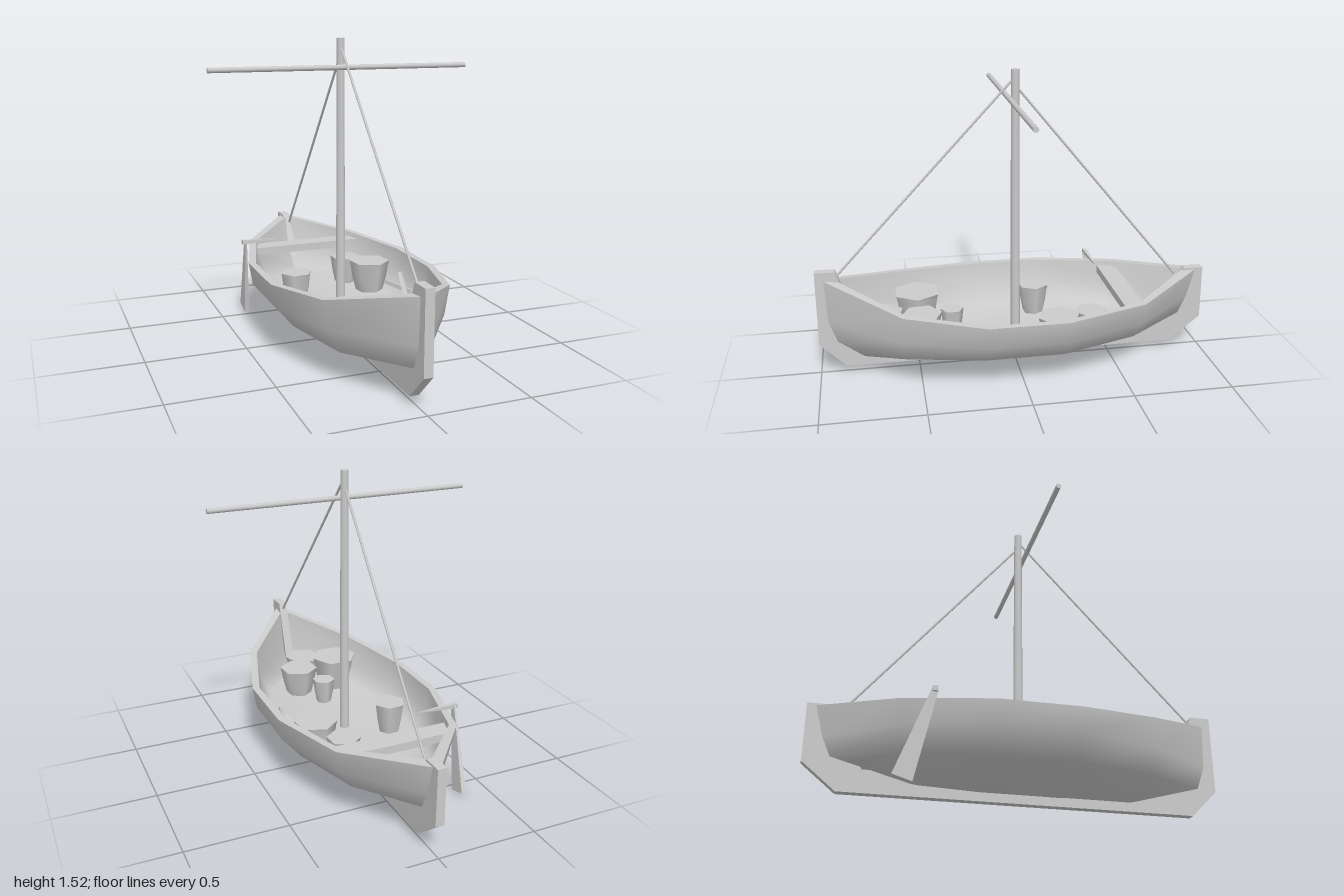
import * as THREE from 'three';
import { toCreasedNormals } from 'three/addons/utils/BufferGeometryUtils.js';

const mat = new THREE.MeshStandardMaterial({ color: 0xcccccc, side: THREE.DoubleSide });
const V = (x, y, z) => new THREE.Vector3(x, y, z);

function add(parent, name, geometry) {
  const mesh = new THREE.Mesh(geometry, mat);
  mesh.name = name;
  parent.add(mesh);
  return mesh;
}

// Smooth skin over a grid of points rows[i][j]
function loft(rows, flip) {
  const n = rows[0].length, index = [];
  for (let i = 0; i < rows.length - 1; i++) {
    for (let j = 0; j < n - 1; j++) {
      const a = i * n + j, b = a + n, c = a + 1, d = b + 1;
      index.push(...(flip ? [a, b, c, c, b, d] : [a, c, b, c, d, b]));
    }
  }
  const g = new THREE.BufferGeometry().setFromPoints(rows.flat());
  g.setIndex(index);
  g.computeVertexNormals();
  return g;
}

// Tapered bar between two points; sx and sz flatten its section
function bar(parent, name, from, to, r0, r1, sides = 6, sx = 1, sz = 1) {
  const dir = to.clone().sub(from);
  const g = new THREE.CylinderGeometry(r1, r0, dir.length(), sides);
  if (sides === 4) g.rotateY(Math.PI / 4);
  g.scale(sx, 1, sz);
  const mesh = add(parent, name, sides === 4 ? toCreasedNormals(g, 0.5) : g);
  mesh.position.copy(from).add(to).multiplyScalar(0.5);
  mesh.quaternion.setFromUnitVectors(V(0, 1, 0), dir.normalize());
  return mesh;
}

// Hull lines from bow to stern, each point [half width, height, z]
const outerLines = [
  [[0.02, 0.51, 0.96], [0.31, 0.415, 0.59], [0.43, 0.385, 0.2], [0.43, 0.385, -0.19], [0.31, 0.395, -0.6], [0.02, 0.44, -0.96]],
  [[0.02, 0.29, 0.95], [0.285, 0.275, 0.59], [0.41, 0.27, 0.2], [0.41, 0.27, -0.19], [0.28, 0.28, -0.6], [0.02, 0.29, -0.92]],
  [[0.02, 0.18, 0.91], [0.23, 0.16, 0.58], [0.32, 0.165, 0.2], [0.32, 0.165, -0.19], [0.22, 0.18, -0.57], [0.02, 0.2, -0.88]],
  [[0, 0.08, 0.8], [0, 0.077, 0.55], [0, 0.077, 0.2], [0, 0.077, -0.19], [0, 0.09, -0.5], [0, 0.18, -0.83]],
];
const innerLines = [
  [[0.01, 0.505, 0.9], [0.28, 0.415, 0.57], [0.395, 0.385, 0.19], [0.395, 0.385, -0.18], [0.28, 0.395, -0.58], [0.01, 0.44, -0.89]],
  [[0.01, 0.29, 0.86], [0.265, 0.275, 0.56], [0.38, 0.27, 0.19], [0.38, 0.27, -0.18], [0.255, 0.28, -0.57], [0.01, 0.29, -0.82]],
  [[0.01, 0.18, 0.78], [0.22, 0.175, 0.55], [0.31, 0.175, 0.19], [0.31, 0.175, -0.18], [0.21, 0.185, -0.55], [0.01, 0.18, -0.74]],
  [[0, 0.17, 0.77], [0, 0.17, 0.54], [0, 0.17, 0.19], [0, 0.17, -0.18], [0, 0.17, -0.53], [0, 0.17, -0.73]],
];

// Turn half-hull lines into full cross-sections, left gunwale to right gunwale
const sections = lines => lines[0].map((_, i) => [
  ...lines.map(l => V(...l[i])),
  ...lines.slice(0, -1).reverse().map(l => V(-l[i][0], l[i][1], l[i][2])),
]);

function makeHull() {
  const hull = new THREE.Group();
  hull.name = 'hull';
  const out = sections(outerLines), inn = sections(innerLines);
  add(hull, 'outerPlanking', loft(out, false));
  add(hull, 'innerPlanking', loft(inn, true));
  add(hull, 'leftGunwale', loft(out.map((s, i) => [s[0], inn[i][0]]), true));
  add(hull, 'rightGunwale', loft(out.map((s, i) => [inn[i][6], s[6]]), true));

  // Keel with both stem posts, drawn in profile and extruded across
  const profile = [[1, 0.555], [1, 0.17], [0.87, 0.04], [-0.84, 0.04], [-1, 0.17], [-1, 0.45],
    [-0.9, 0.45], [-0.88, 0.42], [-0.73, 0.15], [0.77, 0.15], [0.88, 0.5], [0.9, 0.555]];
  const shape = new THREE.Shape(profile.map(p => new THREE.Vector2(...p)));
  const keel = new THREE.ExtrudeGeometry(shape, { depth: 0.044, bevelEnabled: false });
  keel.translate(0, 0, -0.022).rotateY(-Math.PI / 2);
  add(hull, 'keelAndStems', keel);

  // Bench board fitted to the narrowing stern
  const seat = new THREE.Shape([[-0.3, 0.51], [0.3, 0.51], [0.3, 0.54], [0.26, 0.61], [-0.26, 0.61], [-0.3, 0.54]]
    .map(p => new THREE.Vector2(...p)));
  const bench = new THREE.ExtrudeGeometry(seat, { depth: 0.04, bevelEnabled: false });
  bench.rotateX(-Math.PI / 2).translate(0, 0.33, 0);
  add(hull, 'bench', bench);
  return hull;
}

function makeRigging() {
  const rig = new THREE.Group();
  rig.name = 'rigging';
  bar(rig, 'mast', V(0, 0.165, 0), V(0, 1.52, 0), 0.025, 0.02, 8);
  bar(rig, 'yard', V(-0.665, 1.38, 0.03), V(0.665, 1.38, 0.03), 0.013, 0.013, 8);
  bar(rig, 'forestay', V(0, 0.52, 0.9), V(0, 1.47, 0.012), 0.006, 0.006);
  bar(rig, 'backstay', V(0, 0.42, -0.85), V(0, 1.43, -0.012), 0.006, 0.006);
  return rig;
}

// Steering oar hung on the right quarter, with its tiller
function makeSteeringOar() {
  const oar = new THREE.Group();
  oar.name = 'steeringOar';
  bar(oar, 'oarBlade', V(-0.352, 0.018, -0.585), V(-0.372, 0.425, -0.462), 0.066, 0.021, 4, 0.28, 1);
  bar(oar, 'tiller', V(-0.39, 0.424, -0.463), V(-0.18, 0.426, -0.467), 0.017, 0.003, 4);
  return oar;
}

// Six-sided tubs on the floor: [x, z, radius, top height, turn]
const tubs = [
  [0.165, -0.36, 0.082, 0.32, 0.1], [0.235, -0.18, 0.107, 0.335, 0.15], [-0.195, -0.13, 0.082, 0.33, 0.6],
  [-0.02, 0.325, 0.06, 0.3, 0], [-0.155, 0.495, 0.125, 0.35, 0.5], [0.065, 0.485, 0.103, 0.32, 0.1],
  [-0.035, 0.67, 0.1, 0.3, 0.3],
];

function makeCargo() {
  const cargo = new THREE.Group();
  cargo.name = 'cargo';
  for (const [x, z, r, top, turn] of tubs) {
    const h = top - 0.165;
    const profile = [[0, 0], [r * 0.65, 0], [r * 0.85, h * 0.5], [r * 0.94, h * 0.85], [r, h], [0, h]];
    const g = new THREE.LatheGeometry(profile.map(p => new THREE.Vector2(...p)), 6);
    const tub = add(cargo, 'tub', toCreasedNormals(g, 1.1));
    tub.position.set(x, 0.165, z);
    tub.rotation.y = turn;
  }
  // Two crossed sticks against the left side
  bar(cargo, 'stick', V(0.275, 0.25, -0.045), V(0.325, 0.25, 0.165), 0.014, 0.014, 4);
  bar(cargo, 'stick', V(0.355, 0.285, -0.045), V(0.28, 0.24, 0.19), 0.014, 0.018, 4);
  return cargo;
}

export function createModel() {
  const boat = new THREE.Group();
  boat.name = 'boat';
  boat.add(makeHull(), makeRigging(), makeSteeringOar(), makeCargo());
  return boat;
}
